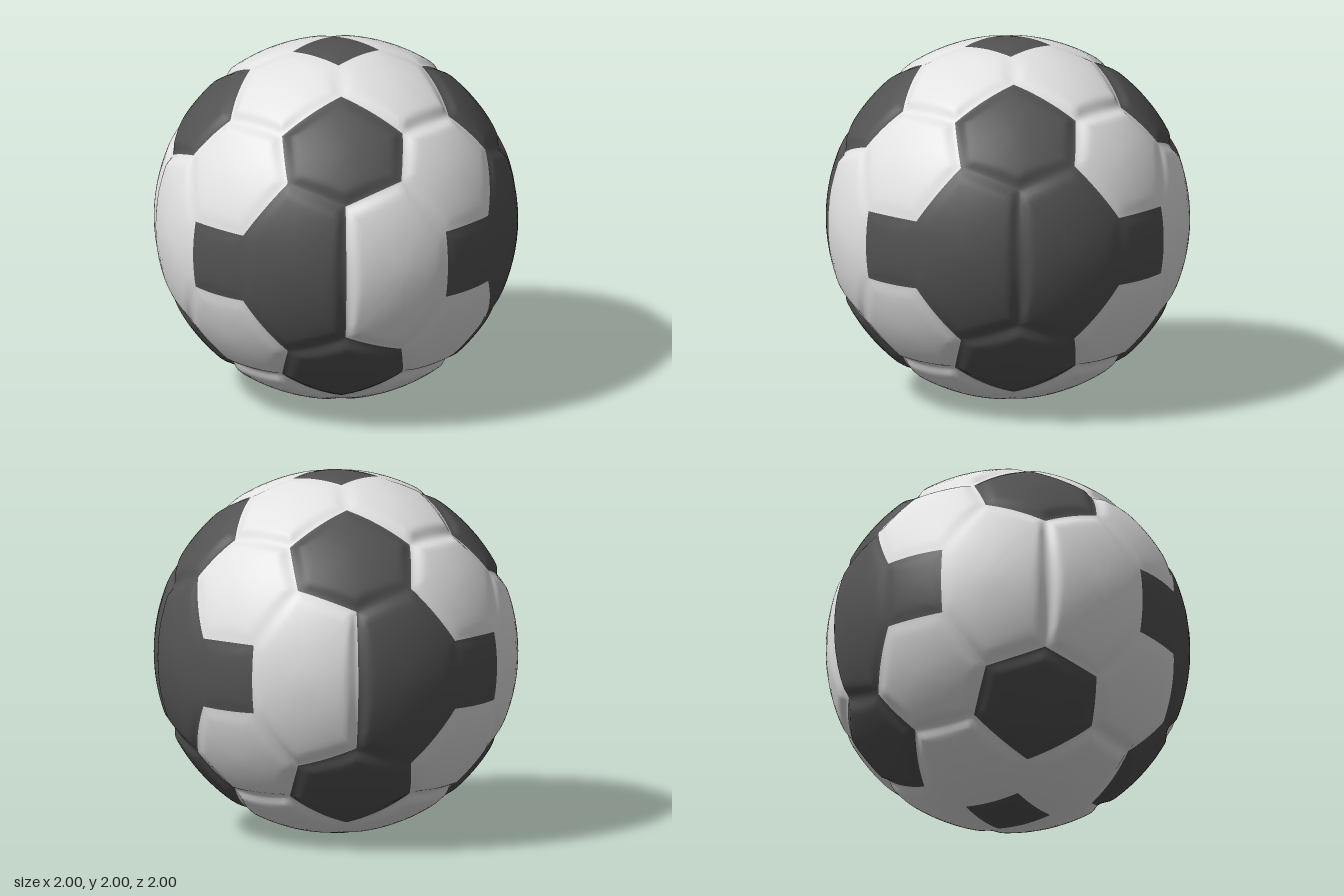
import * as THREE from 'three';

// Panel corners in the front quarter: x, y, z direction and seam depth there
const SQ = [0.175, 0.19, 0.966, 0.004];     // side square corner
const TOP = [0.168, 0.97, 0.168, 0.004];    // top square corner
const A_TOP = [0.337, 0.88, 0.337, 0.011];  // corner panel vertex nearest the top
const A = [0.352, 0.495, 0.8, 0.011];       // corner panel vertex nearest the front
const B = [0.195, 0.71, 0.675, 0.026];      // end of the seam between top and front
const V = [0.65, 0.39, 0.65, 0.026];        // end of the upright seam between sides

const GROOVE = 0.085;  // half width of a seam
const SEG = 10;        // divisions along each panel edge
const RINGS = [0.2, 0.4, 0.55, 0.66, 0.74, 0.8, 0.85, 0.89, 0.925, 0.95, 0.975, 1];

// Mirror a corner in x or y, or turn it by quarter turns about y (front to +x)
const flip = (p, sx, sy) => [p[0] * sx, p[1] * sy, p[2], p[3]];
function turn([x, y, z, d], k) {
  for (let i = 0; i < k; i++) [x, z] = [z, -x];
  return [x, y, z, d];
}

// A puffed panel: rings from its centre to its great-circle edges, sunk at the seam
function panelGeometry(corners) {
  let pts = corners.map(([x, y, z, d]) => ({ dir: new THREE.Vector3(x, y, z).normalize(), d }));
  const centre = new THREE.Vector3();
  pts.forEach(p => centre.add(p.dir));
  centre.normalize();
  if (pts[0].dir.clone().cross(pts[1].dir).dot(centre) < 0) pts.reverse();

  const edge = [];
  pts.forEach((p, i) => {
    const q = pts[(i + 1) % pts.length];
    for (let s = 0; s < SEG; s++) {
      const t = s / SEG;
      edge.push({ dir: p.dir.clone().lerp(q.dir, t).normalize(), d: p.d + (q.d - p.d) * t });
    }
  });

  const n = edge.length;
  const pos = [centre.x, centre.y, centre.z];
  const index = [];
  RINGS.forEach((t, r) => {
    edge.forEach((e, i) => {
      const v = centre.clone().lerp(e.dir, t).normalize();
      const u = Math.min(1, v.angleTo(e.dir) / GROOVE);
      v.multiplyScalar(1 - e.d * 0.5 * (1 + Math.cos(Math.PI * u)));
      pos.push(v.x, v.y, v.z);
      const j = (i + 1) % n, a = 1 + r * n;
      if (r === 0) index.push(0, a + i, a + j);
      else index.push(a - n + i, a + i, a + j, a - n + i, a + j, a - n + j);
    });
  });

  const geo = new THREE.BufferGeometry();
  geo.setAttribute('position', new THREE.Float32BufferAttribute(pos, 3));
  geo.setIndex(index);
  geo.computeVertexNormals();
  // Seam bottoms face straight out so neighbouring panels shade smoothly
  const first = 1 + (RINGS.length - 1) * n;
  edge.forEach((e, i) => geo.attributes.normal.setXYZ(first + i, e.dir.x, e.dir.y, e.dir.z));
  return geo;
}

export function createModel() {
  const white = new THREE.MeshStandardMaterial({ color: 0xe2e2e2 });
  white.name = 'white';
  const dark = new THREE.MeshStandardMaterial({ color: 0x525252 });
  dark.name = 'charcoal';

  const ball = new THREE.Group();
  ball.name = 'ball';
  const add = (name, corners, material) => {
    const mesh = new THREE.Mesh(panelGeometry(corners), material);
    mesh.name = name;
    mesh.position.y = 1;
    ball.add(mesh);
  };

  // Side panels coloured dark, as quarter turn and side
  const darkSides = ['0,1', '1,-1', '2,-1', '3,1'];

  for (let k = 0; k < 4; k++) {
    const put = (name, corners, material) => add(name, corners.map(p => turn(p, k)), material);

    put('sideSquare', [flip(SQ, 1, 1), flip(SQ, -1, 1), flip(SQ, -1, -1), flip(SQ, 1, -1)], dark);

    // Panels left and right of each side square
    for (const s of [1, -1]) {
      put('sidePanel', [SQ, A, V].map(p => flip(p, s, 1))
        .concat([V, A, SQ].map(p => flip(p, s, -1))),
      darkSides.includes(k + ',' + s) ? dark : white);
    }

    // Upper and lower halves
    for (const s of [1, -1]) {
      const across = list => list.map(p => flip(p, 1, s))
        .concat(list.slice().reverse().map(p => flip(p, -1, s)));
      put('slopePanel', across([SQ, A, B]), white);
      put('capPanel', across([TOP, A_TOP, B]), white);

      // Corner hexagon between this side and the next
      const swap = ([x, y, z, d]) => [z, y, x, d];
      put('cornerPanel', [A_TOP, B, A, V, swap(A), swap(B)].map(p => flip(p, 1, s)), dark);
    }
  }

  // Squares at the top and bottom
  for (const s of [1, -1]) {
    add('poleSquare', [0, 1, 2, 3].map(k => turn(flip(TOP, 1, s), k)), dark);
  }
  return ball;
}
